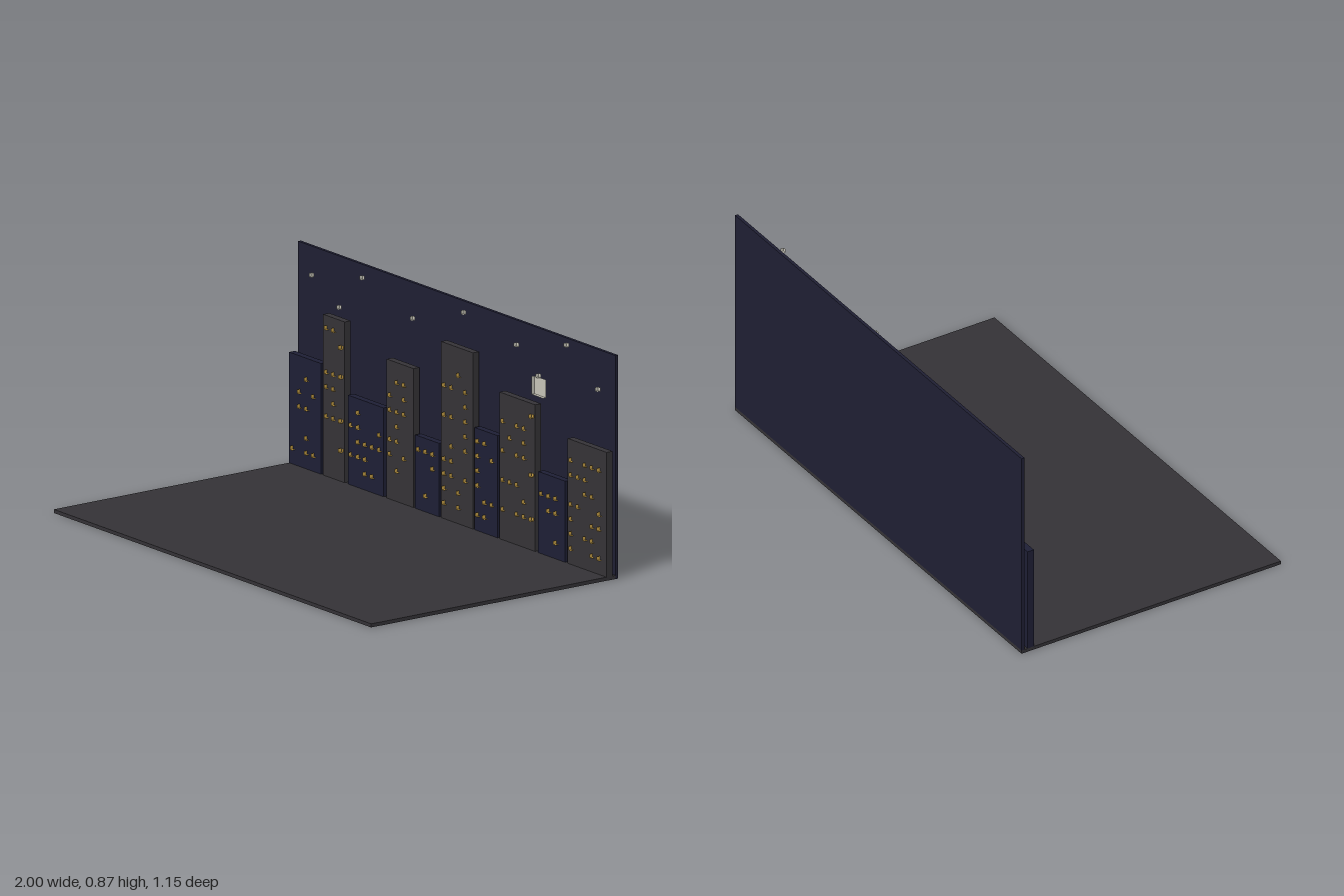
import * as THREE from 'three';

const mat = (name, color) => {
  const m = new THREE.MeshStandardMaterial({ color });
  m.name = name;
  return m;
};

// Small box seen from its inside: the near face is open
function hollowBox(w, h, d) {
  const g = new THREE.BoxGeometry(w, h, d);
  g.index.array.reverse();
  const n = g.attributes.normal.array;
  for (let i = 0; i < n.length; i++) n[i] = -n[i];
  return g;
}

export function createModel() {
  const root = new THREE.Group();
  root.name = 'nightCityBackdrop';

  const asphalt = mat('asphalt grey', 0x343236);
  const sky = mat('night sky', 0x1f1f33);
  const navy = mat('navy facade', 0x1e1f35);
  const concrete = mat('concrete facade', 0x353337);
  const amber = mat('window amber', 0xc8a046);
  const pale = mat('moonlight', 0xc6c4b8);

  const add = (parent, name, geo, material, x, y, z) => {
    const m = new THREE.Mesh(geo, material);
    m.name = name;
    m.position.set(x, y, z);
    parent.add(m);
    return m;
  };

  // Ground slab and sky wall
  add(root, 'ground', new THREE.BoxGeometry(2, 0.014, 1.154), asphalt, 0, 0.007, 0);
  add(root, 'skyWall', new THREE.BoxGeometry(2, 0.87, 0.013), sky, 0, 0.435, -0.5705);

  // Skyline: left edge, right edge, height; facades alternate navy and concrete
  const skyline = [
    [-1, -0.8, 0.445], [-0.785, -0.65, 0.64], [-0.63, -0.405, 0.36],
    [-0.385, -0.217, 0.555], [-0.205, -0.055, 0.3], [-0.043, 0.158, 0.7],
    [0.168, 0.313, 0.412], [0.326, 0.55, 0.585], [0.57, 0.74, 0.33], [0.755, 1, 0.5],
  ];
  const litEdge = { 1: [1, 3, 6, 8], 7: [1, 4, 8] };

  let seed = 7;
  const random = () => (seed = (seed * 16807) % 2147483647) / 2147483647;

  const windowGeo = hollowBox(0.014, 0.014, 0.017);
  const paneGeo = new THREE.BoxGeometry(0.007, 0.011, 0.003);

  skyline.forEach(([x0, x1, h], i) => {
    const building = new THREE.Group();
    building.name = 'building' + (i + 1);
    root.add(building);
    add(building, 'facade', new THREE.BoxGeometry(x1 - x0, h, 0.028),
      i % 2 ? concrete : navy, (x0 + x1) / 2, h / 2, -0.536);

    // Scattered open window frames on a regular grid
    for (let row = 0; 0.08 + row * 0.0573 < h - 0.035; row++) {
      const y = 0.08 + row * 0.0573;
      for (let x = x0 + 0.032; x < x1 - 0.01; x += 0.0445) {
        const edge = litEdge[i] && x + 0.0445 >= x1 - 0.01;
        const lit = edge ? litEdge[i].includes(row) : random() < 0.5;
        if (!lit) continue;
        add(building, 'window', windowGeo, amber, x, y, -0.5155);
        if (edge) add(building, 'windowPane', paneGeo, amber, x + 0.003, y, -0.521);
      }
    }
  });

  // Stars and square moon hanging in front of the sky
  const stars = [
    [-0.885, 0.767], [-0.712, 0.68], [-0.568, 0.827], [-0.25, 0.74], [0.072, 0.835],
    [0.405, 0.783], [0.543, 0.693], [0.72, 0.852], [0.918, 0.724],
  ];
  const starGeo = hollowBox(0.014, 0.014, 0.014);
  stars.forEach(([x, y]) => add(root, 'star', starGeo, pale, x, y, -0.542));
  add(root, 'moon', hollowBox(0.072, 0.07, 0.014), pale, 0.547, 0.65, -0.542);

  return root;
}
